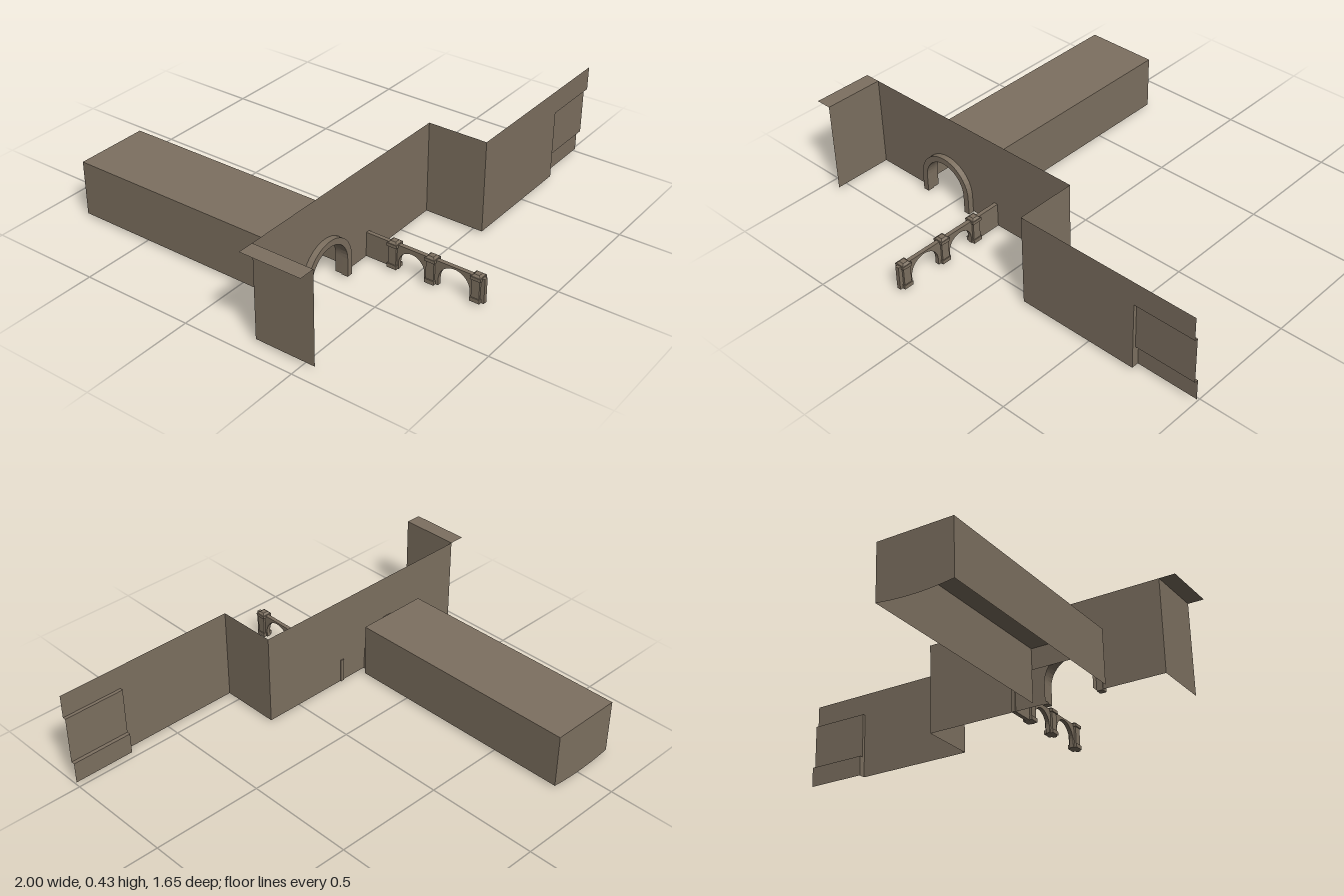
import * as THREE from 'three';

const stone = new THREE.MeshStandardMaterial({ color: 0x7d7060, side: THREE.DoubleSide });
stone.name = 'brownStone';

const BASE = 0.012, TOP = 0.425;   // foot and crest of the walls
const AX = -0.52, SPRING = 0.091;  // arch axis and springing height

export function createModel() {
  const root = new THREE.Group();
  root.name = 'tunnelPortalWalls';

  const add = (name, geo, parent = root) => {
    const m = new THREE.Mesh(geo, stone);
    m.name = name;
    parent.add(m);
    return m;
  };
  const box = (name, x0, x1, y0, y1, z0, z1, parent) =>
    add(name, new THREE.BoxGeometry(x1 - x0, y1 - y0, z1 - z0), parent)
      .position.set((x0 + x1) / 2, (y0 + y1) / 2, (z0 + z1) / 2);
  // Flat rectangle from a corner and two edge vectors
  const sheet = (name, p, u, v, parent) => {
    const at = (a, b) => p.map((c, i) => c + a * u[i] + b * v[i]);
    const g = new THREE.BufferGeometry();
    g.setAttribute('position', new THREE.Float32BufferAttribute(
      [at(0, 0), at(1, 0), at(1, 1), at(0, 1)].flat(), 3));
    g.setIndex([0, 1, 2, 0, 2, 3]);
    g.computeVertexNormals();
    return add(name, g, parent);
  };
  const polygon = pts => new THREE.Shape(pts.map(p => new THREE.Vector2(...p)));
  // Round-headed outline with straight legs, from left foot to right foot
  const archLine = (cx, r, spring, foot, n = 20) => {
    const pts = [[cx - r, foot]];
    for (let i = 0; i <= n; i++) {
      const a = Math.PI * (1 - i / n);
      pts.push([cx + r * Math.cos(a), spring + r * Math.sin(a)]);
    }
    pts.push([cx + r, foot]);
    return pts;
  };

  // Main wall, cut by the tunnel mouth
  const opening = archLine(AX, 0.11, SPRING, BASE);
  add('mainWall', new THREE.ShapeGeometry(polygon(
    [[-0.93, BASE], ...opening, [0.17, BASE], [0.17, TOP], [-0.93, TOP]]))).position.z = 0.28;

  // Return walls and the small ledge
  sheet('stepWall', [0.17, BASE, 0.28], [0, 0, 0.27], [0, TOP - BASE, 0]);
  sheet('endWall', [-0.93, BASE, 0.28], [0, 0, 0.27], [0, TOP - BASE, 0]);
  sheet('endLedge', [-1, TOP, 0.28], [0, 0, 0.27], [0.07, 0, 0]);

  // Forward wall with a stepped niche in its end
  add('forwardWall', new THREE.ShapeGeometry(polygon(
    [[0.17, BASE], [0.723, BASE], [0.723, 0.32], [1, 0.32], [1, TOP], [0.17, TOP]]))).position.z = 0.55;
  const niche = new THREE.Group();
  niche.name = 'niche';
  root.add(niche);
  for (const [y0, y1, z0, z1] of [[BASE, 0.107, 0.518, 0.535], [0.107, 0.32, 0.535, 0.55]]) {
    sheet('nicheBack', [0.723, y0, z0], [0.277, 0, 0], [0, y1 - y0, 0], niche);
    sheet('nicheTop', [0.723, y1, z0], [0.277, 0, 0], [0, 0, z1 - z0], niche);
    sheet('nicheSide', [0.723, y0, z0], [0, 0, 0.55 - z0], [0, y1 - y0, 0], niche);
  }

  // Open-bottomed tunnel box with a bowed foot on the back
  const tunnel = new THREE.Group();
  tunnel.name = 'tunnel';
  root.add(tunnel);
  const [TL, TR, TB, TF, TH] = [-0.685, -0.355, -0.828, 0.247, 0.256];
  sheet('tunnelRoof', [TL, TH, TB], [0, 0, TF - TB], [TR - TL, 0, 0], tunnel);
  for (const x of [TL, TR])
    sheet('tunnelSide', [x, BASE, TB], [0, 0, TF - TB], [0, TH - BASE, 0], tunnel);
  const bow = new THREE.Shape();
  bow.moveTo(TL, TH);
  bow.lineTo(TL, BASE);
  bow.quadraticCurveTo(AX, -BASE, TR, BASE);
  bow.lineTo(TR, TH);
  add('tunnelBack', new THREE.ShapeGeometry(bow), tunnel).position.z = TB;
  sheet('tunnelLintel', [TL, 0.16, TF], [TR - TL, 0, 0], [0, TH - 0.16, 0], tunnel);

  // Vaulted neck: the arch outline swept from the tunnel to the wall
  const neckPos = [], neckIdx = [];
  opening.forEach(([x, y], i) => {
    neckPos.push(x, y, TF, x, y, 0.28);
    if (i) neckIdx.push(2 * i - 2, 2 * i, 2 * i - 1, 2 * i - 1, 2 * i, 2 * i + 1);
  });
  const neck = new THREE.BufferGeometry();
  neck.setAttribute('position', new THREE.Float32BufferAttribute(neckPos, 3));
  neck.setIndex(neckIdx);
  neck.computeVertexNormals();
  add('tunnelNeck', neck, tunnel);

  // Raised arch surround
  const ring = [...archLine(AX, 0.137, SPRING, 0.008), ...archLine(AX, 0.11, SPRING, 0.008).reverse()];
  add('archSurround', new THREE.ExtrudeGeometry(polygon(ring),
    { depth: 0.03, bevelEnabled: false })).position.z = 0.276;

  // Arched parapet running forward from the wall
  const parapet = new THREE.Group();
  parapet.name = 'parapet';
  root.add(parapet);
  const PX = -0.245;
  const side = polygon([[0.275, BASE], ...archLine(0.495, 0.06, 0.042, BASE),
    ...archLine(0.69, 0.071, 0.042, BASE), [0.825, BASE], [0.825, 0.122], [0.275, 0.122]]);
  const screen = new THREE.ExtrudeGeometry(side, { depth: 0.018, bevelEnabled: false });
  screen.rotateY(-Math.PI / 2);
  add('parapetScreen', screen, parapet).position.x = PX + 0.009;

  // Posts with plinths, caps and low pointed tops
  for (const z of [0.41, 0.585, 0.79]) {
    const post = new THREE.Group();
    post.name = 'post';
    post.position.set(PX, 0, z);
    parapet.add(post);
    box('postShaft', -0.018, 0.018, BASE, 0.112, -0.018, 0.018, post);
    box('postPlinth', -0.022, 0.022, BASE, 0.03, -0.022, 0.022, post);
    box('postCap', -0.023, 0.023, 0.11, 0.124, -0.023, 0.023, post);
    const tip = new THREE.CylinderGeometry(0.017, 0.028, 0.009, 4, 1).toNonIndexed();
    tip.rotateY(Math.PI / 4);
    tip.computeVertexNormals();
    add('postTop', tip, post).position.y = 0.1285;
  }
  return root;
}
